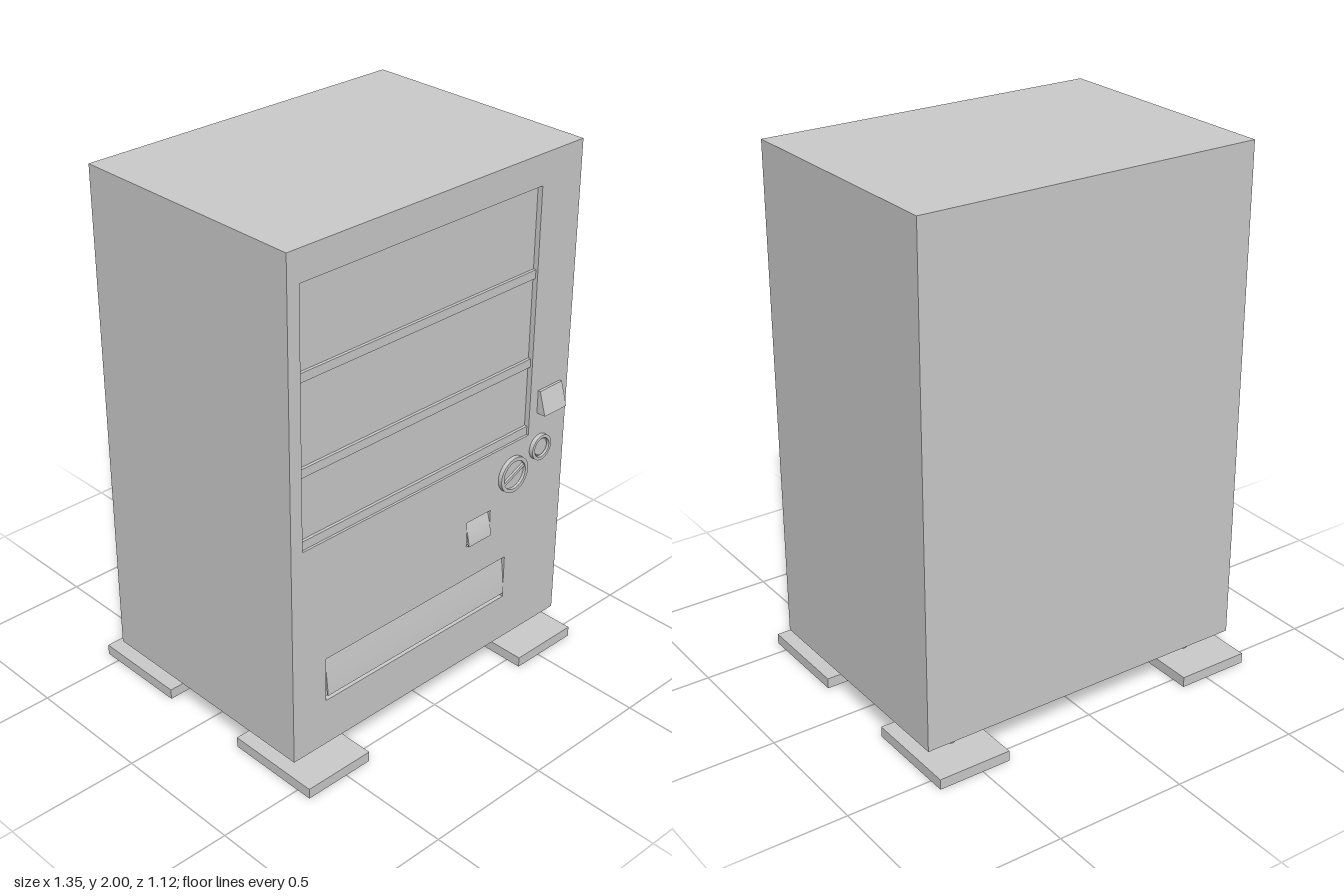
import * as THREE from 'three';

const material = new THREE.MeshStandardMaterial({ color: 0xcccccc });
const FRONT = 0.475, RECESS = 0.455;

function add(parent, name, geometry, x = 0, y = 0, z = 0) {
  const mesh = new THREE.Mesh(geometry, material);
  mesh.name = name;
  mesh.position.set(x, y, z);
  parent.add(mesh);
  return mesh;
}

// Box given by its limits
function block(parent, name, x0, x1, y0, y1, z0, z1) {
  return add(parent, name, new THREE.BoxGeometry(x1 - x0, y1 - y0, z1 - z0),
    (x0 + x1) / 2, (y0 + y1) / 2, (z0 + z1) / 2);
}

function rectangle(Type, x0, x1, y0, y1) {
  return new Type([[x0, y0], [x1, y0], [x1, y1], [x0, y1]].map(p => new THREE.Vector2(...p)));
}

// Side profile in (z, y), swept across x from x0 to x1
function sweepAcross(parent, name, shape, x0, x1) {
  const geometry = new THREE.ExtrudeGeometry(shape, { depth: x1 - x0, bevelEnabled: false, curveSegments: 12 });
  geometry.rotateY(-Math.PI / 2);
  geometry.scale(1, 1, 1);
  return add(parent, name, geometry, x1, 0, 0);
}

// Hinged flap, bowed outwards towards its lower edge
function flap(parent, name, x0, x1, y0, y1, zTop, zBottom) {
  const shape = new THREE.Shape();
  const mid = y0 + (y1 - y0) * 0.4, t = 0.006;
  shape.moveTo(zTop, y1);
  shape.quadraticCurveTo(zBottom - 0.004, mid, zBottom, y0);
  shape.lineTo(zBottom - t, y0);
  shape.quadraticCurveTo(zBottom - 0.004 - t, mid, zTop - t, y1);
  sweepAcross(parent, name, shape, x0, x1);
}

// Round fitting with a raised rim and a sunken face
function dial(parent, name, x, y, radius, rim) {
  const group = new THREE.Group();
  group.name = name;
  group.position.set(x, y, FRONT);
  const inner = radius - rim;
  const points = [[radius, -0.005], [radius, 0.016], [inner, 0.016], [inner, 0.005], [0, 0.005]];
  const profile = points.map(p => new THREE.Vector2(...p));
  const geometry = new THREE.LatheGeometry(profile, 32).toNonIndexed();
  geometry.computeVertexNormals();
  geometry.rotateX(Math.PI / 2);
  const mesh = add(group, name + 'Rim', geometry);
  mesh.material = material.clone();
  mesh.material.side = THREE.DoubleSide;
  parent.add(group);
  return group;
}

export function createModel() {
  const model = new THREE.Group();
  model.name = 'vendingMachine';

  // Cabinet with a front panel cut out for window, coin return and chute
  block(model, 'cabinet', -0.665, 0.665, 0.1, 2, -0.475, RECESS);
  const panel = rectangle(THREE.Shape, -0.665, 0.665, 0.1, 2);
  panel.holes.push(
    rectangle(THREE.Path, -0.615, 0.47, 0.935, 1.885),
    rectangle(THREE.Path, 0.165, 0.285, 0.6, 0.7),
    rectangle(THREE.Path, -0.515, 0.375, 0.285, 0.46));
  add(model, 'frontPanel',
    new THREE.ExtrudeGeometry(panel, { depth: FRONT - RECESS, bevelEnabled: false }), 0, 0, RECESS);

  // Display shelves
  for (const y of [0.935, 1.205, 1.545])
    block(model, 'shelf', -0.615, 0.47, y, y + 0.033, RECESS, 0.466);

  // Delivery chute and coin return flaps
  flap(model, 'deliveryFlap', -0.51, 0.372, 0.305, 0.455, 0.463, 0.48);
  flap(model, 'coinReturnFlap', 0.168, 0.282, 0.602, 0.695, 0.463, 0.486);

  // Sloped bill slot housing
  const wedge = new THREE.Shape();
  wedge.moveTo(0.47, 1.01);
  wedge.lineTo(0.512, 1.01);
  wedge.lineTo(0.485, 1.1);
  wedge.lineTo(0.47, 1.1);
  sweepAcross(model, 'billSlot', wedge, 0.51, 0.625);

  // Turning knob with a diagonal grip, and the coin button beside it
  const knob = dial(model, 'knob', 0.39, 0.81, 0.07, 0.014);
  const grip = add(knob, 'knobGrip', new THREE.BoxGeometry(0.108, 0.012, 0.01), 0, 0, 0.009);
  grip.rotation.z = 0.42;
  const button = dial(model, 'coinButton', 0.53, 0.867, 0.05, 0.012);
  const cap = new THREE.CylinderGeometry(0.032, 0.036, 0.006, 24);
  cap.rotateX(Math.PI / 2);
  add(button, 'coinButtonCap', cap, 0, 0, 0.007);

  // Four legs on wide ground plates
  for (const sx of [-1, 1]) for (const sz of [-1, 1]) {
    add(model, 'footPlate', new THREE.BoxGeometry(0.283, 0.04, 0.375), sx * 0.532, 0.02, sz * 0.372);
    add(model, 'footPost', new THREE.CylinderGeometry(0.025, 0.025, 0.07, 20), sx * 0.522, 0.07, sz * 0.383);
  }
  return model;
}
